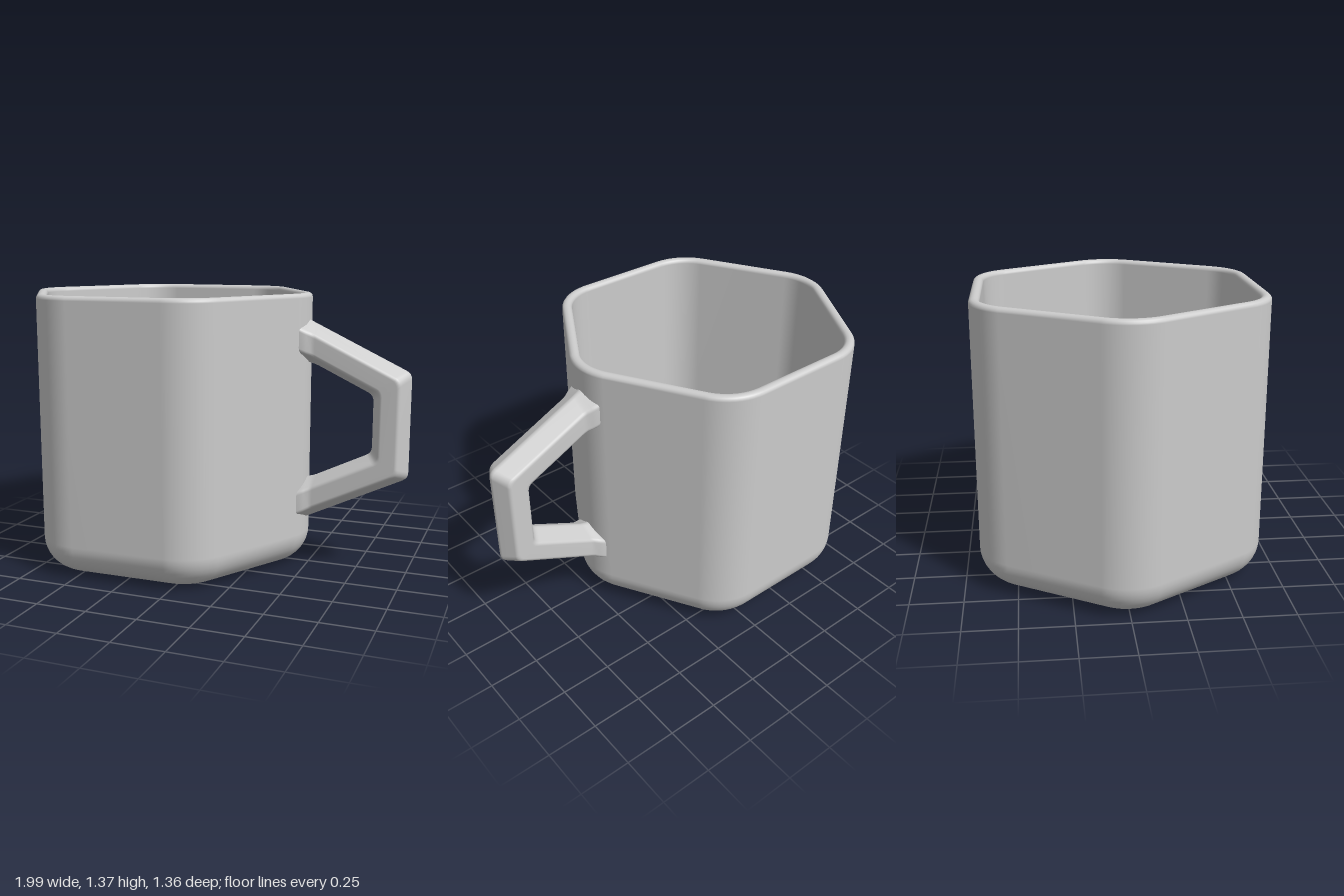
import * as THREE from 'three';

const material = new THREE.MeshStandardMaterial({ color: 0xcccccc, side: THREE.DoubleSide });

// Skin a list of closed rings (arrays of Vector3) with smooth normals
function loft(rings) {
  const n = rings[0].length;
  const index = [];
  for (let i = 0; i < rings.length - 1; i++) {
    for (let j = 0; j < n; j++) {
      const k = (j + 1) % n;
      const a = i * n + j, b = i * n + k, c = a + n, d = b + n;
      index.push(a, c, b, b, c, d);
    }
  }
  const geometry = new THREE.BufferGeometry().setFromPoints(rings.flat());
  geometry.setIndex(index);
  geometry.computeVertexNormals();
  return geometry;
}

// Quadratic rounding of a corner between two points
const roundCorner = (from, corner, to, steps) =>
  Array.from({ length: steps + 1 }, (_, i) => {
    const t = i / steps;
    return from.clone().multiplyScalar((1 - t) ** 2)
      .addScaledVector(corner, 2 * t * (1 - t))
      .addScaledVector(to, t * t);
  });

// Rounded hexagon at a height, inset from the outer wall
const APOTHEM = 0.68, CORNER = 0.267, CENTRE_X = -0.256;
function hexRing([inset, y]) {
  const apothem = APOTHEM - inset;
  const radius = Math.min(Math.max(CORNER - inset, 0.06), apothem);
  const reach = (apothem - radius) * 2 / Math.sqrt(3);
  const points = [];
  const steps = 10;
  for (let side = 0; side < 6; side++) {
    const mid = side * Math.PI / 3;
    for (let s = 0; s <= steps; s++) {
      const t = mid + (s / steps - 0.5) * Math.PI / 3;
      points.push(new THREE.Vector3(
        CENTRE_X + reach * Math.cos(mid) + radius * Math.cos(t), y,
        reach * Math.sin(mid) + radius * Math.sin(t)));
    }
  }
  return points;
}

// Quarter arc in (inset, y) profile space
const arc = (cx, cy, r, start, end, steps) =>
  Array.from({ length: steps + 1 }, (_, i) => {
    const t = start + (end - start) * i / steps;
    return [cx + r * Math.cos(t), cy + r * Math.sin(t)];
  });

function createCup() {
  const H = Math.PI / 2, top = 1.37, wall = 0.05, floor = 0.06;
  const profile = [
    [APOTHEM, 0],
    ...arc(0.165, 0.165, 0.165, 3 * H, 2 * H, 10),         // outer bottom edge
    ...arc(0.022, top - 0.022, 0.022, 2 * H, H, 4),        // rim, outside
    ...arc(wall - 0.022, top - 0.022, 0.022, H, 0, 4),     // rim, inside
    ...arc(wall + 0.12, floor + 0.12, 0.12, 2 * H, 3 * H, 8), // inner bottom edge
    [APOTHEM, floor],
  ];
  return new THREE.Mesh(loft(profile.map(hexRing)), material);
}

function createHandle() {
  // Hexagonal bar section as (outward, z), edges softened
  const hex = [[0.094, 0], [0.047, -0.09], [-0.047, -0.09], [-0.094, 0], [-0.047, 0.09], [0.047, 0.09]]
    .map(([n, z]) => new THREE.Vector2(n, z));
  const section = hex.flatMap((p, i) => roundCorner(
    p.clone().lerp(hex[(i + 5) % 6], 0.14), p, p.clone().lerp(hex[(i + 1) % 6], 0.14), 4));

  // Upper leg stations [x, z flare, underside flare], bend, mirrored about MID_Y
  const MID_Y = 0.74, SLOPE = 0.48, BEND_X = 0.902, BEND_Y = 0.2, SOFT = 0.03;
  const secant = Math.hypot(1, SLOPE);
  const stations = [[0.445, 1.3, 1.15], [0.475, 1.24, 1.1], [0.495, 1.16, 1.06], [0.515, 1.04, 1.02], [0.535, 1, 1]];
  const sin = SLOPE / secant, cos = 1 / secant;
  const miterY = cos / (1 + sin);

  const upperLine = (s) => {
    const leg = stations.map(([x, flareZ, flareN]) => new THREE.Vector3(
      x,
      BEND_Y + (BEND_X - x) * SLOPE + s.x * secant * (s.x < 0 ? flareN : 1),
      s.y * flareZ));
    const corner = new THREE.Vector3(BEND_X + s.x, BEND_Y + s.x * miterY, s.y);
    const before = corner.clone().add(new THREE.Vector3(-cos * SOFT, sin * SOFT, 0));
    const after = corner.clone().add(new THREE.Vector3(0, -SOFT, 0));
    return [...leg, ...roundCorner(before, corner, after, 4)];
  };
  const lines = section.map((s) => {
    const upper = upperLine(s);
    const lower = upper.map((p) => new THREE.Vector3(p.x, -p.y, p.z)).reverse();
    return [...upper, ...lower];
  });
  const rings = lines[0].map((_, i) => lines.map((line) => line[i]));
  const handle = new THREE.Mesh(loft(rings), material);
  handle.position.y = MID_Y;
  return handle;
}

export function createModel() {
  const group = new THREE.Group();
  group.name = 'mug';
  const cup = createCup();
  cup.name = 'cup';
  const handle = createHandle();
  handle.name = 'handle';
  group.add(cup, handle);
  return group;
}
